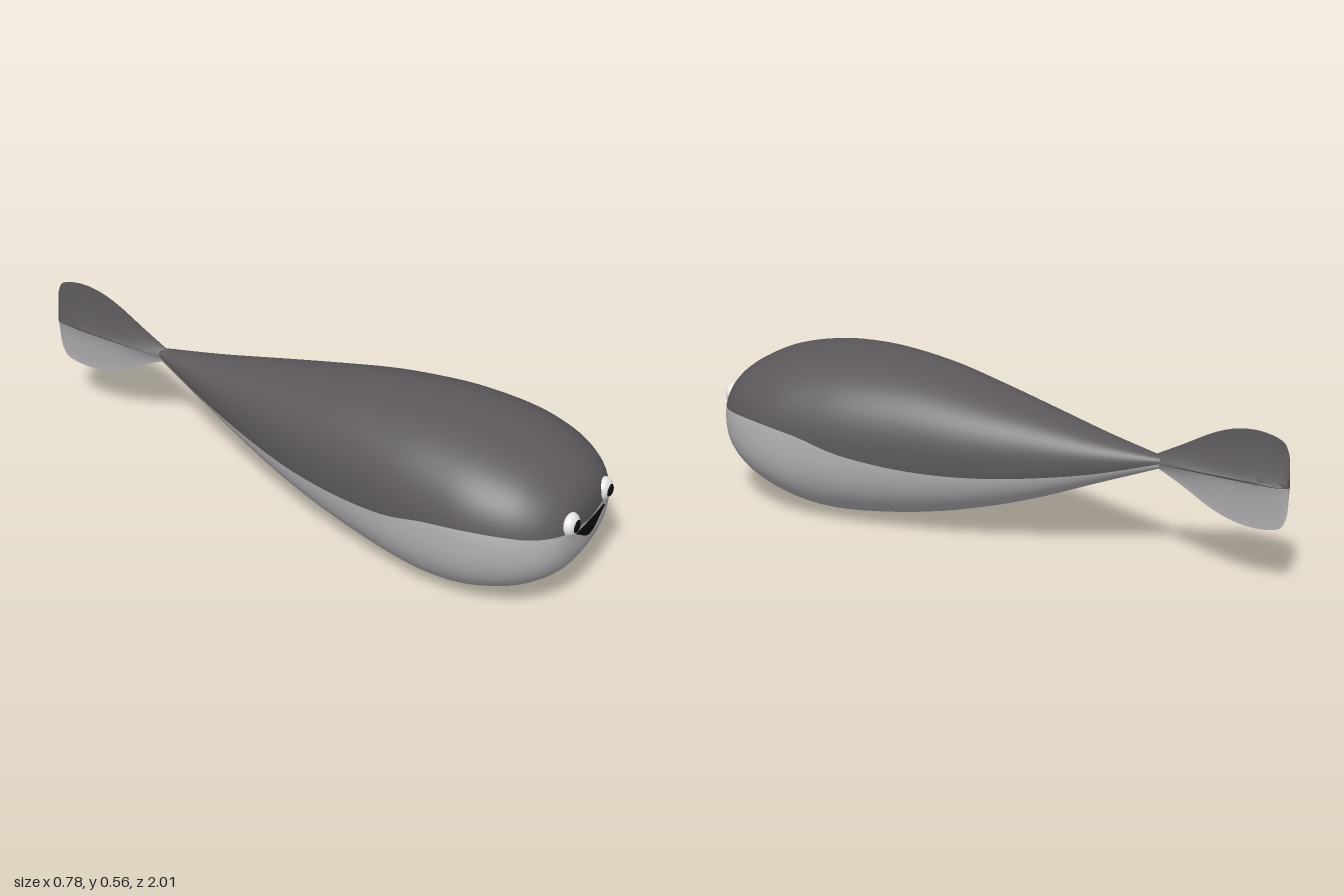
import * as THREE from 'three';
import { toCreasedNormals } from 'three/addons/utils/BufferGeometryUtils.js';

const mat = (name, color) => {
  const m = new THREE.MeshStandardMaterial({ color });
  m.name = name;
  return m;
};

// Smooth interpolation through the key sections
function smoothRows(rows, steps) {
  const out = [];
  const at = (i) => rows[Math.min(rows.length - 1, Math.max(0, i))];
  for (let i = 0; i < rows.length - 1; i++) {
    for (let s = 0; s < steps; s++) {
      const t = s / steps;
      out.push(at(i).map((b, k) => {
        const a = at(i - 1)[k], c = at(i + 1)[k], d = at(i + 2)[k];
        return b + 0.5 * t * (c - a + t * (2 * a - 5 * b + 4 * c - d + t * (3 * (b - c) + d - a)));
      }));
    }
  }
  out.push(at(rows.length - 1));
  return out;
}

// Loft of superellipse sections [z, halfWidth, top, bottom, colourSeam];
// group 0 is above the seam, group 1 below it
function loft(keys, power, steps, half = 28) {
  const rows = smoothRows(keys, steps);
  const n = half * 2, pos = [], upper = [], lower = [];
  const curve = (v) => Math.sign(v) * Math.pow(Math.abs(v), 2 / power);
  for (const [z, w, top, bottom, seam] of rows) {
    const cy = (top + bottom) / 2, h = Math.max((top - bottom) / 2, 1e-5);
    const f = THREE.MathUtils.clamp((seam - cy) / h, -0.9, 0.9);
    const tb = Math.asin(Math.sign(f) * Math.pow(Math.abs(f), power / 2));
    for (let j = 0; j < n; j++) {
      const t = j < half
        ? tb + (Math.PI - 2 * tb) * j / half
        : Math.PI - tb + (Math.PI + 2 * tb) * (j - half) / half;
      pos.push(Math.max(w, 0) * curve(Math.cos(t)), cy + h * curve(Math.sin(t)), z);
    }
  }
  for (let i = 0; i < rows.length - 1; i++) {
    for (let j = 0; j < n; j++) {
      const k = (j + 1) % n;
      const a = i * n + j, b = i * n + k, c = b + n, d = a + n;
      (j < half ? upper : lower).push(a, b, c, a, c, d);
    }
  }
  const g = new THREE.BufferGeometry();
  g.setAttribute('position', new THREE.Float32BufferAttribute(pos, 3));
  g.setIndex([...upper, ...lower]);
  g.addGroup(0, upper.length, 0);
  g.addGroup(upper.length, lower.length, 1);
  g.computeVertexNormals();
  return g;
}

export function createModel() {
  const back = mat('darkBack', 0x5c585b);
  const belly = mat('paleBelly', 0xb4b1b4);
  const white = mat('eyeWhite', 0xf8f8f8);
  const black = mat('black', 0x0a0a0a);

  const fish = new THREE.Group();
  fish.name = 'fish';
  const add = (name, geo, material, x = 0, y = 0, z = 0) => {
    const m = new THREE.Mesh(geo, material);
    m.name = name;
    m.position.set(x, y, z);
    fish.add(m);
    return m;
  };

  // Teardrop body with a broad, blunt face
  add('body', loft([
    [-0.63, 0.02, 0.387, 0.35, 0.368],
    [-0.42, 0.087, 0.42, 0.262, 0.312],
    [-0.2, 0.153, 0.465, 0.168, 0.275],
    [0, 0.21, 0.505, 0.098, 0.258],
    [0.2, 0.256, 0.542, 0.045, 0.26],
    [0.4, 0.297, 0.558, 0.012, 0.285],
    [0.55, 0.313, 0.555, 0.002, 0.322],
    [0.68, 0.315, 0.537, 0.022, 0.34],
    [0.8, 0.287, 0.505, 0.06, 0.342],
    [0.88, 0.245, 0.465, 0.105, 0.335],
    [0.93, 0.195, 0.425, 0.15, 0.33],
    [0.955, 0.145, 0.385, 0.2, 0.325],
    [0.964, 0.085, 0.35, 0.25, 0.318],
    [0.966, 0, 0.305, 0.305, 0.305],
  ], 2.3, 5), [back, belly]);

  // Upright tail fin with a slim ridge along each side
  add('tailFin', toCreasedNormals(loft([
    [-1.063, 0, 0.37, 0.37, 0.37],
    [-1.061, 0.009, 0.45, 0.29, 0.37],
    [-1.052, 0.017, 0.492, 0.252, 0.37],
    [-1.03, 0.025, 0.52, 0.225, 0.37],
    [-0.96, 0.032, 0.537, 0.213, 0.37],
    [-0.88, 0.033, 0.53, 0.222, 0.37],
    [-0.8, 0.032, 0.5, 0.25, 0.37],
    [-0.7, 0.03, 0.443, 0.305, 0.37],
    [-0.6, 0.022, 0.388, 0.352, 0.37],
  ], 0.75, 4, 20), 0.8), [back, belly]);

  // Bulging eyes
  for (const side of [-1, 1]) {
    const name = side > 0 ? 'left' : 'right';
    add(name + 'Eye', new THREE.SphereGeometry(0.038, 32, 20), white, side * 0.111, 0.345, 0.953)
      .scale.z = 0.68;
    add(name + 'Pupil', new THREE.SphereGeometry(0.022, 28, 16), black, side * 0.111, 0.345, 0.971)
      .scale.z = 0.5;
  }

  // Wide mouth, flat along the top
  const lips = new THREE.Shape();
  lips.moveTo(-0.093, 0.302);
  lips.bezierCurveTo(-0.05, 0.275, -0.03, 0.251, 0, 0.251);
  lips.bezierCurveTo(0.03, 0.251, 0.05, 0.275, 0.093, 0.302);
  lips.closePath();
  add('mouth', new THREE.ExtrudeGeometry(lips, { depth: 0.009, bevelEnabled: false, curveSegments: 16 }),
    black, 0, 0, 0.96);

  // The whole fish is turned a little toward its left
  const turn = 0.262;
  fish.rotation.y = turn;
  fish.position.set(-0.098 * Math.cos(turn), 0, 0.098 * Math.sin(turn));
  const model = new THREE.Group();
  model.name = 'model';
  model.add(fish);
  return model;
}
